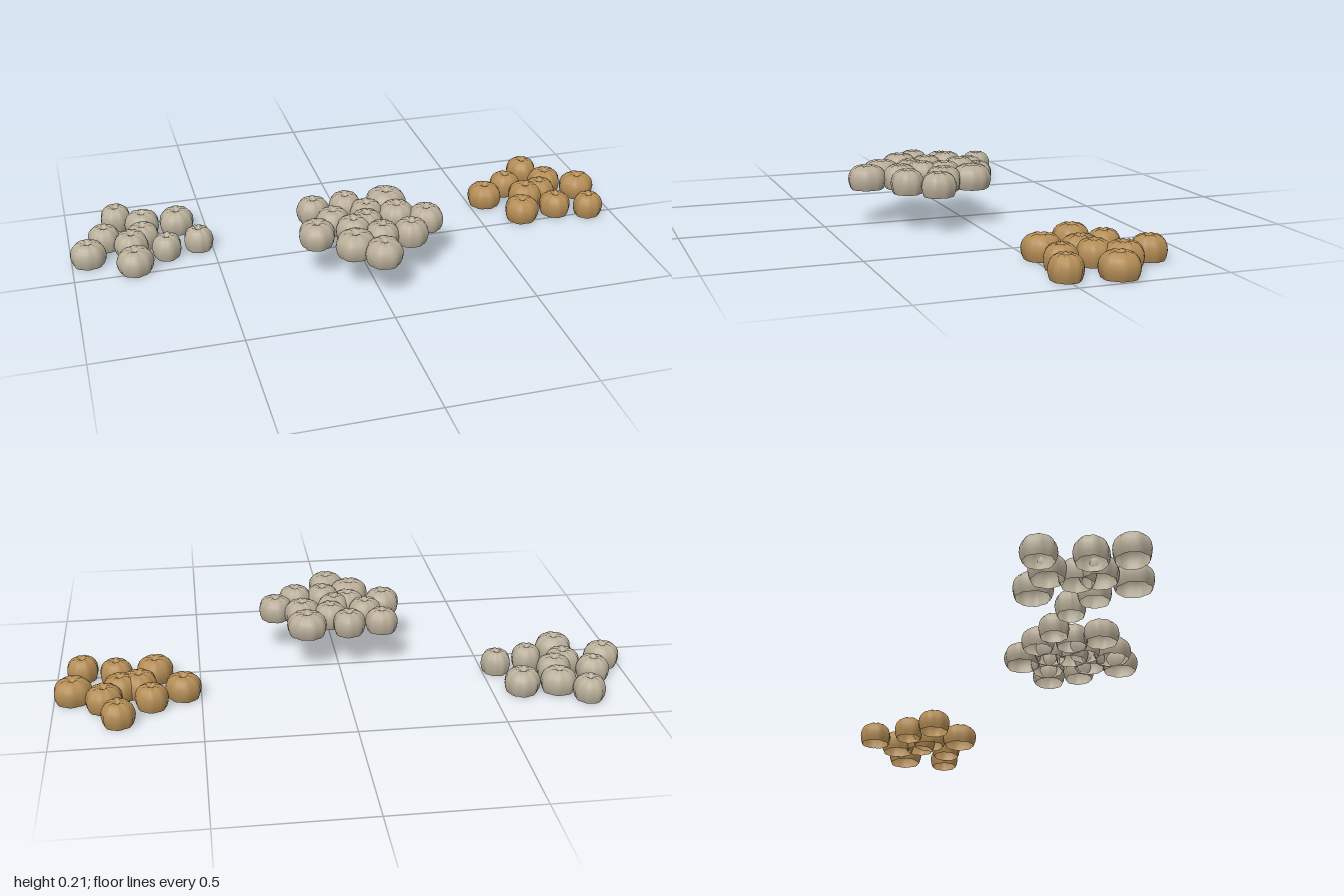
import * as THREE from 'three';
import { mergeVertices } from 'three/addons/utils/BufferGeometryUtils.js';

const paint = (name, color) => {
  const m = new THREE.MeshStandardMaterial({ color, side: THREE.DoubleSide });
  m.name = name;
  return m;
};

// Shell profile: radius as a share of the widest radius, then height
const PROFILE = [
  [0.86, 0], [0.95, 0.014], [1, 0.032], [0.97, 0.048], [0.88, 0.062],
  [0.72, 0.073], [0.5, 0.081], [0.33, 0.083], [0.2, 0.079], [0.1, 0.068],
].map(([r, y]) => new THREE.Vector2(r, y));

// Open-bottomed shell with grooved plates and a small notched mouth
function shellGeometry(radius, seed) {
  const lobes = 7 + (seed % 3);
  const phase = seed * 1.7;
  const geo = new THREE.LatheGeometry(PROFILE, lobes * 4);
  geo.deleteAttribute('uv');
  geo.deleteAttribute('normal');
  const p = geo.attributes.position;
  for (let i = 0; i < p.count; i++) {
    const x = p.getX(i), y = p.getY(i), z = p.getZ(i);
    const r = Math.hypot(x, z), a = Math.atan2(x, z);
    const ridge = Math.abs(Math.sin(a * lobes / 2));
    const groove = 1 - (r < 0.4 ? 0.25 : 0.07) * (1 - ridge);
    const uneven = 1 + 0.025 * Math.sin(2 * a + phase) + 0.015 * Math.sin(3 * a - phase);
    const k = radius * groove * uneven;
    const notch = r < 0.55 && y > 0.07 ? 0.004 * (1 - ridge) : 0;
    p.setXYZ(i, x * k, y - notch, z * k);
  }
  const merged = mergeVertices(geo, 1e-5);
  merged.computeVertexNormals();
  return merged;
}

// Each entry: x, z, radius
const CLUSTERS = [
  {
    name: 'leftGreyCluster', y: 0, material: paint('grey shell', 0xb8af9a),
    shells: [
      [-0.82, -0.365, 0.057], [-0.73, -0.295, 0.062], [-0.605, -0.285, 0.064],
      [-0.875, -0.22, 0.058], [-0.74, -0.2, 0.06], [-0.785, -0.15, 0.063],
      [-0.94, -0.12, 0.062], [-0.665, -0.103, 0.054], [-0.548, -0.128, 0.052],
      [-0.785, -0.03, 0.065],
    ],
  },
  {
    name: 'raisedGreyCluster', y: 0.127, material: paint('warm grey shell', 0xb8ac98),
    shells: [
      [-0.155, 0, 0.057], [-0.037, -0.005, 0.06], [0.113, 0, 0.071],
      [-0.107, 0.095, 0.06], [0.021, 0.07, 0.06], [0.12, 0.107, 0.064],
      [-0.182, 0.172, 0.065], [-0.053, 0.172, 0.06], [0, 0.145, 0.06],
      [0.213, 0.155, 0.062], [-0.073, 0.273, 0.069], [0.032, 0.235, 0.06],
      [0.133, 0.24, 0.059], [0.006, 0.348, 0.066],
    ],
  },
  {
    name: 'brownCluster', y: 0, material: paint('brown shell', 0xb38c55),
    shells: [
      [0.778, -0.342, 0.059], [0.668, -0.241, 0.057], [0.828, -0.23, 0.064],
      [0.56, -0.176, 0.063], [0.935, -0.162, 0.066], [0.712, -0.139, 0.065],
      [0.775, -0.155, 0.06], [0.657, -0.032, 0.065], [0.792, -0.037, 0.057],
      [0.91, 0, 0.055],
    ],
  },
];

export function createModel() {
  const model = new THREE.Group();
  model.name = 'shellClusters';
  CLUSTERS.forEach(({ name, y, material, shells }, c) => {
    const cluster = new THREE.Group();
    cluster.name = name;
    shells.forEach(([x, z, radius], i) => {
      const shell = new THREE.Mesh(shellGeometry(radius, i * 5 + c * 3 + 1), material);
      shell.name = 'barnacleShell';
      shell.position.set(x, y, z);
      shell.rotation.y = i * 2.4 + c;
      cluster.add(shell);
    });
    model.add(cluster);
  });
  return model;
}
